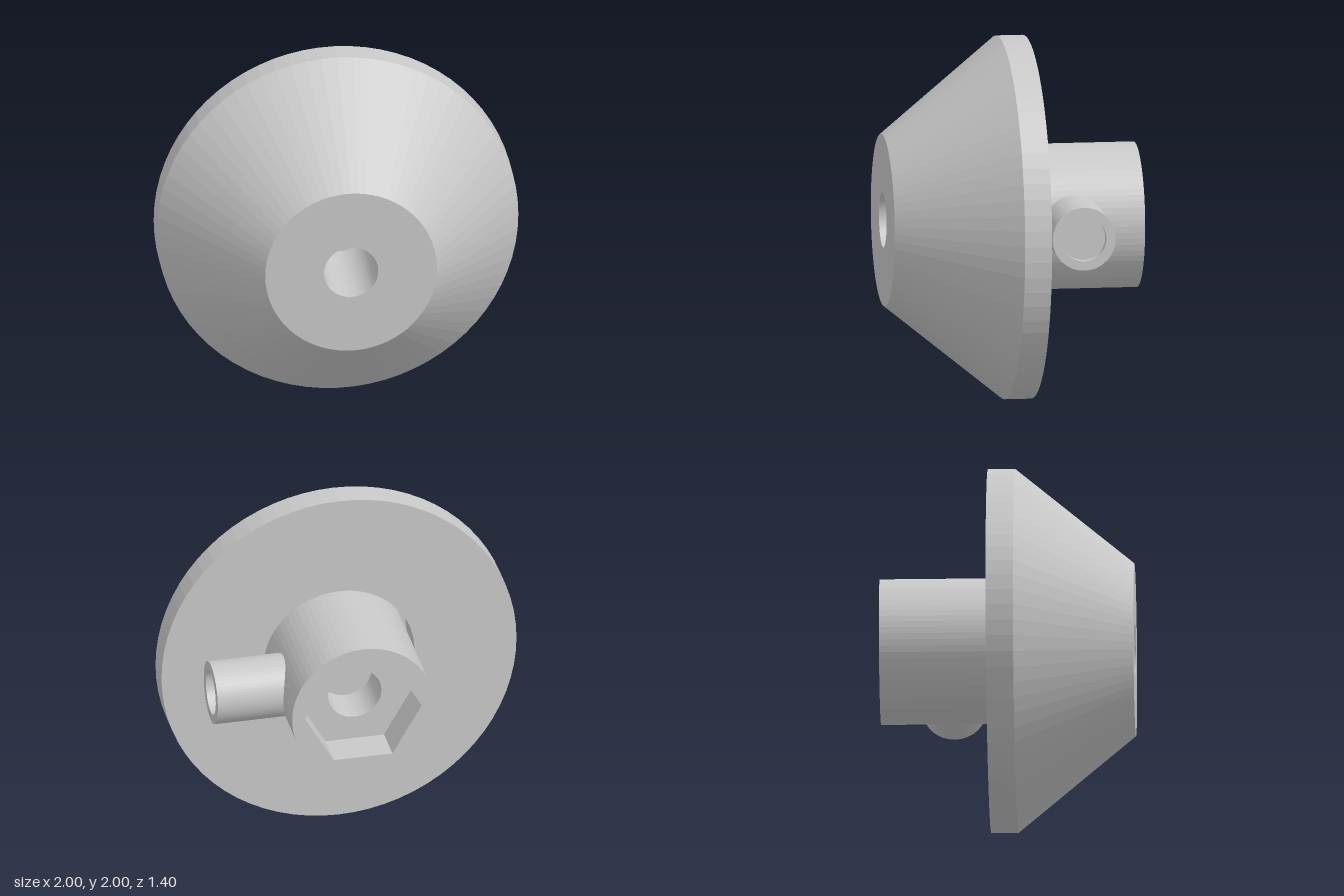
import * as THREE from 'three';

const SEGMENTS = 72;

// Lathe whose axis lies along z; each profile point is [radius, z].
// Rising profiles face outward, falling ones face inward.
function turned(points, segments = SEGMENTS, start = 0) {
  const profile = points.map(([r, z]) => new THREE.Vector2(r, z));
  return new THREE.LatheGeometry(profile, segments, start).rotateX(Math.PI / 2);
}

function circle(PathType, radius) {
  const path = new PathType();
  path.absarc(0, 0, radius, 0, Math.PI * 2);
  return path;
}

function hexagon(PathType, radius) {
  const corners = [];
  for (let i = 0; i < 6; i++) {
    const a = (i * Math.PI) / 3;
    corners.push(new THREE.Vector2(radius * Math.cos(a), radius * Math.sin(a)));
  }
  return new PathType(corners);
}

// Flat plate with a hole, facing the back at depth z
function backFace(outer, hole, z) {
  outer.holes.push(hole);
  return new THREE.ShapeGeometry(outer, SEGMENTS / 2).rotateY(Math.PI).translate(0, 0, z);
}

export function createModel() {
  const model = new THREE.Group();
  const grey = new THREE.MeshStandardMaterial({ color: 0xc8c8c8, flatShading: true });
  grey.name = 'grey metal';

  function add(parent, name, geometry) {
    const mesh = new THREE.Mesh(geometry, grey);
    mesh.name = name;
    parent.add(mesh);
  }

  const assembly = new THREE.Group();
  assembly.name = 'coneWheel';
  assembly.position.y = 1;
  model.add(assembly);

  // Truncated cone with rim, front bore and a rear pocket for the hub
  add(assembly, 'coneBody', turned([
    [0.425, -0.1], [1, -0.1], [1, 0.05], [0.475, 0.7],
    [0.15, 0.7], [0.15, 0.1], [0.425, 0.1], [0.425, -0.1],
  ]));

  // Hub with hexagonal socket and a blind bore at its bottom
  const END = -0.7, FLOOR = -0.49, HEX = 0.33, BORE = 0.15;
  const hub = new THREE.Group();
  hub.name = 'hub';
  assembly.add(hub);
  add(hub, 'hubWall', turned([[0.4, END], [0.4, 0.1], [0, 0.1]]));
  add(hub, 'hubEnd', backFace(circle(THREE.Shape, 0.4), hexagon(THREE.Path, HEX), END));
  add(hub, 'hexSocketWall', turned([[HEX, FLOOR], [HEX, END]], 6, Math.PI / 2));
  add(hub, 'hexSocketFloor', backFace(hexagon(THREE.Shape, HEX), circle(THREE.Path, BORE), FLOOR));
  add(hub, 'hubBore', turned([[0, -0.25], [BORE, -0.25], [BORE, FLOOR]]));

  // Side pin with a shallow recess in its end
  const pin = turned([[0.175, 0.32], [0.175, 0.77], [0.123, 0.77], [0.123, 0.72], [0, 0.72]]);
  add(assembly, 'sidePin', pin.rotateY(Math.PI / 2).translate(0, 0, -0.31));

  return model;
}
